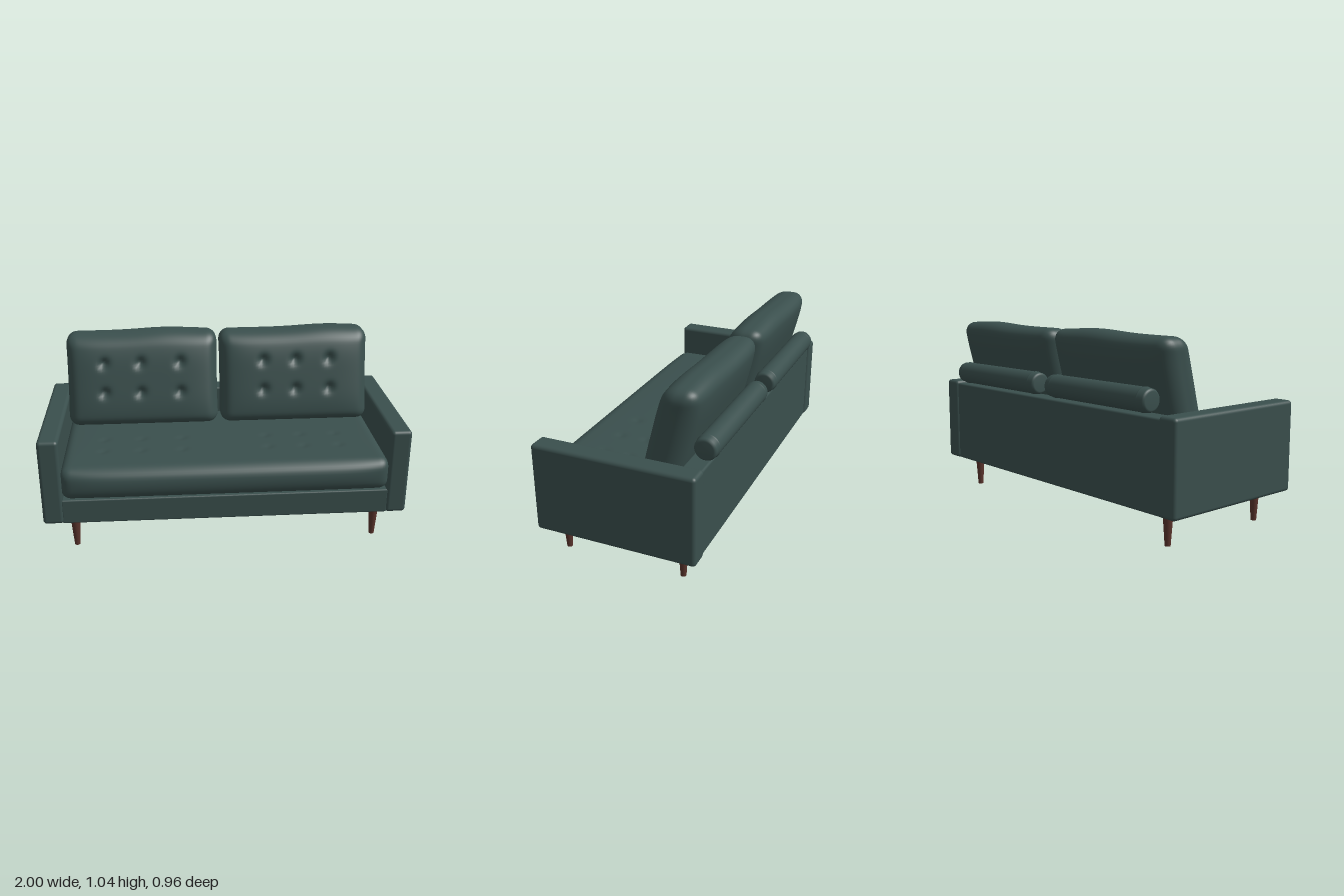
import * as THREE from 'three';
import { RoundedBoxGeometry } from 'three/addons/geometries/RoundedBoxGeometry.js';
import { mergeVertices } from 'three/addons/utils/BufferGeometryUtils.js';

const fabric = new THREE.MeshStandardMaterial({ color: 0x3a4f4d });
fabric.name = 'green fabric';
const wood = new THREE.MeshStandardMaterial({ color: 0x5a342c });
wood.name = 'brown wood';

const clamp = THREE.MathUtils.clamp;

// Finely divided box with rounded edges; warp(p, u, v, t) then moves each point,
// where u, v, t run from -1 to 1 across width, height and depth.
function softBox(w, h, d, r, cell, warp) {
  const g = new THREE.BoxGeometry(w, h, d, Math.ceil(w / cell), Math.ceil(h / cell), Math.ceil(d / cell));
  g.deleteAttribute('normal');
  g.deleteAttribute('uv');
  const pos = g.attributes.position;
  const p = new THREE.Vector3(), q = new THREE.Vector3();
  for (let i = 0; i < pos.count; i++) {
    p.fromBufferAttribute(pos, i);
    q.set(
      clamp(p.x, r - w / 2, w / 2 - r),
      clamp(p.y, r - h / 2, h / 2 - r),
      clamp(p.z, r - d / 2, d / 2 - r)
    );
    p.sub(q).setLength(r).add(q);
    warp(p, p.x / (w / 2), p.y / (h / 2), p.z / (d / 2));
    pos.setXYZ(i, p.x, p.y, p.z);
  }
  const merged = mergeVertices(g, 1e-5);
  merged.computeVertexNormals();
  return merged;
}

// Sum of small round hollows around tuft points
function hollows(a, b, points, radius) {
  let sum = 0;
  for (const [x, y] of points) sum += Math.exp(-((a - x) ** 2 + (b - y) ** 2) / (radius * radius));
  return sum;
}

const grid = (xs, ys) => xs.flatMap((x) => ys.map((y) => [x, y]));

export function createModel() {
  const sofa = new THREE.Group();
  sofa.name = 'sofa';

  const add = (name, geometry, material, x, y, z) => {
    const mesh = new THREE.Mesh(geometry, material);
    mesh.name = name;
    mesh.position.set(x, y, z);
    sofa.add(mesh);
    return mesh;
  };
  const panel = (name, w, h, d, r, x, y, z) =>
    add(name, new RoundedBoxGeometry(w, h, d, 4, r), fabric, x, y, z);

  // Frame
  panel('baseFrame', 1.79, 0.14, 0.87, 0.008, 0, 0.25, 0.003);
  panel('backPanel', 1.79, 0.475, 0.11, 0.012, 0, 0.4175, -0.38);
  panel('rightArm', 0.113, 0.49, 0.89, 0.02, -0.943, 0.425, 0);
  panel('leftArm', 0.113, 0.49, 0.89, 0.02, 0.943, 0.425, 0);

  // Seat cushion with a bulging front and shallow tufts
  const seatTufts = grid([-0.67, -0.46, -0.23, 0.25, 0.45, 0.65], [0.08, 0.23]);
  const seat = softBox(1.79, 0.185, 0.8, 0.055, 0.0165, (p, u, v, t) => {
    const ends = 1 - u ** 8;
    if (t > 0) p.z += 0.03 * t * ends * (1 - v * v);
    if (v > 0.9) {
      p.y += 0.006 * ends * (1 - t * t);
      p.y -= 0.008 * hollows(p.x, p.z + 0.05, seatTufts, 0.022);
    }
  });
  add('seatCushion', seat, fabric, 0, 0.4125, 0.05);

  // Leaning back cushions with two rows of tufts
  const cushions = [
    { name: 'rightBackCushion', x: -0.447, tufts: [-0.67, -0.46, -0.23], crest: 0.14 },
    { name: 'leftBackCushion', x: 0.447, tufts: [0.26, 0.45, 0.65], crest: 0.2 },
  ];
  const midY = 0.77;
  for (const { name, x, tufts, crest } of cushions) {
    const points = grid(tufts.map((a) => a - x), [0.715 - midY, 0.88 - midY]);
    const cushion = softBox(0.876, 0.52, 0.17, 0.065, 0.0135, (p, u, v, t) => {
      const side = clamp(t * 1.6, -1, 1);
      const puff = 0.036 * (1 - u ** 6) * (1 - v ** 4);
      p.z += side * puff;
      if (t > 0.5) p.z -= 0.03 * hollows(p.x, p.y, points, 0.026);
      p.z -= 0.068 * v;
      if (v > 0) p.y += 0.014 * v * v * Math.exp(-(((p.x - crest) / 0.2) ** 2));
      // tighter corners in the face outline
      p.x += 0.008 * u ** 3 * v ** 4;
    });
    add(name, cushion, fabric, x, midY, -0.247);
  }

  // Bolsters resting on the back panel
  const half = 0.385;
  const profile = [
    [0, -half], [0.045, -half], [0.054, -half + 0.004], [0.059, -half + 0.012],
    [0.061, -half + 0.04], [0.064, -half + 0.045], [0.064, -half + 0.05], [0.062, -half + 0.056],
  ];
  const mirrored = profile.map(([r, y]) => [r, -y]).reverse();
  const outline = [...profile, ...mirrored].map(([r, y]) => new THREE.Vector2(r, y));
  for (const [name, x] of [['rightBolster', -0.435], ['leftBolster', 0.435]]) {
    add(name, new THREE.LatheGeometry(outline, 40), fabric, x, 0.73, -0.417).rotation.z = Math.PI / 2;
  }

  // Tapered legs: four corners and one in the middle
  const leg = new THREE.CylinderGeometry(0.028, 0.015, 0.185, 24);
  const spots = [[-0.835, 0.355], [0.842, 0.355], [-0.835, -0.315], [0.842, -0.315], [0, 0.04]];
  for (const [x, z] of spots) add('leg', leg, wood, x, 0.0925, z);

  return sofa;
}
